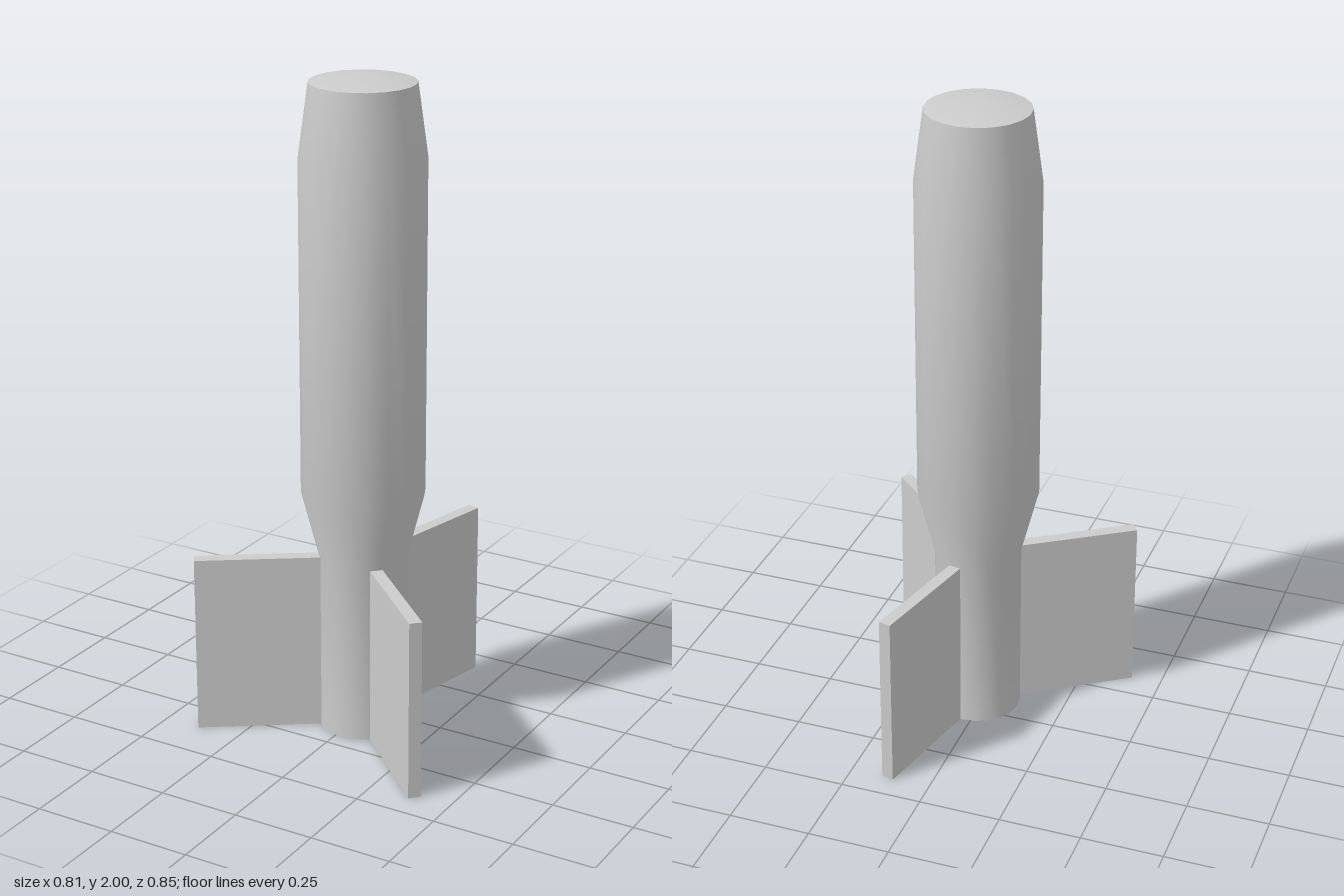
import * as THREE from 'three';
import { toCreasedNormals } from 'three/addons/utils/BufferGeometryUtils.js';

const TAIL_TOP = 0.55;
const FIN_REACH = 0.503;
const FIN_THICKNESS = 0.038;

export function createModel() {
  const model = new THREE.Group();
  model.name = 'finnedRocket';
  const material = new THREE.MeshStandardMaterial({ color: 0xcccccc });

  // Everything radiates from the body axis, which sits off the centre
  const axis = new THREE.Group();
  axis.name = 'rocket';
  axis.position.set(0.021, 0, 0.068);
  model.add(axis);

  // Body: narrow tail, flare, straight barrel, tapered shoulder, shallow tip
  const profile = [
    [0, 0], [0.132, 0], [0.132, TAIL_TOP], [0.184, 0.755],
    [0.184, 1.757], [0.154, 1.975], [0, 2],
  ].map(([r, y]) => new THREE.Vector2(r, y));
  const body = new THREE.Mesh(toCreasedNormals(new THREE.LatheGeometry(profile, 20), 0.6), material);
  body.name = 'body';
  body.rotation.y = THREE.MathUtils.degToRad(-1.5);
  axis.add(body);

  // Three flat fins, unevenly spaced, running from the axis outwards
  const finGeometry = new THREE.BoxGeometry(FIN_REACH - 0.05, TAIL_TOP, FIN_THICKNESS);
  finGeometry.translate((FIN_REACH + 0.05) / 2, TAIL_TOP / 2, 0);
  const finAngles = { backFin: 77.1, leftFin: -42.9, rightFin: -145.8 };
  for (const [name, degrees] of Object.entries(finAngles)) {
    const fin = new THREE.Mesh(finGeometry, material);
    fin.name = name;
    fin.rotation.y = THREE.MathUtils.degToRad(degrees);
    axis.add(fin);
  }

  return model;
}
